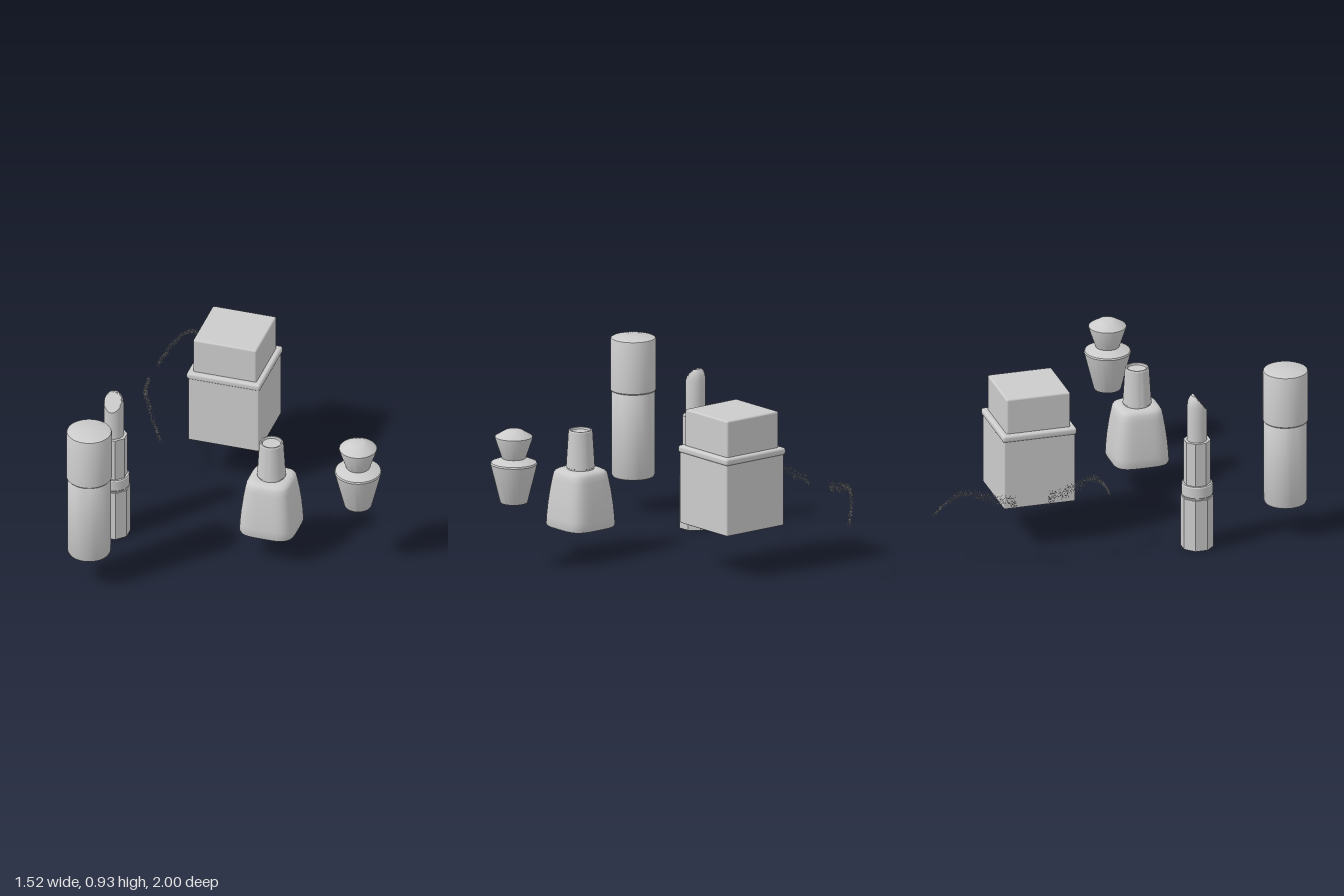
import * as THREE from 'three';
import { toCreasedNormals, mergeGeometries } from 'three/addons/utils/BufferGeometryUtils.js';
import { RoundedBoxGeometry } from 'three/addons/geometries/RoundedBoxGeometry.js';

const grey = new THREE.MeshStandardMaterial({ color: 0xcccccc, side: THREE.DoubleSide });

function add(parent, name, geometry, x = 0, y = 0, z = 0) {
  const mesh = new THREE.Mesh(geometry, grey);
  mesh.name = name;
  mesh.position.set(x, y, z);
  parent.add(mesh);
  return mesh;
}

function item(parent, name, x, z) {
  const group = new THREE.Group();
  group.name = name;
  group.position.set(x, 0, z);
  parent.add(group);
  return group;
}

// Turned part from [radius, height] pairs, listed from the bottom up
function turned(points, sides = 48) {
  const profile = points.map(([r, y]) => new THREE.Vector2(r, y));
  return toCreasedNormals(new THREE.LatheGeometry(profile, sides), 0.5);
}

// Eight-sided prism with a flat side to the front
function octagon(apothem, y0, y1) {
  const r = apothem / Math.cos(Math.PI / 8);
  const g = new THREE.CylinderGeometry(r, r, y1 - y0, 8);
  g.rotateY(Math.PI / 8);
  g.translate(0, (y0 + y1) / 2, 0);
  return toCreasedNormals(g, 0.3);
}

// Stack of rounded-square rings, each [half width, height]
function squareLoft(rings, power = 4, sides = 64) {
  const g = new THREE.LatheGeometry(rings.map(([r, y]) => new THREE.Vector2(r, y)), sides);
  const p = g.attributes.position;
  for (let i = 0; i < p.count; i++) {
    const x = p.getX(i), z = p.getZ(i), r = Math.hypot(x, z);
    if (r < 1e-6) continue;
    const k = (Math.abs(x / r) ** power + Math.abs(z / r) ** power) ** (-1 / power);
    p.setX(i, x * k);
    p.setZ(i, z * k);
  }
  return toCreasedNormals(g, 0.7);
}

// Slanted lipstick tip: a domed rod whose top is pressed onto a sloping plane
function bulletGeometry() {
  const profile = [[0.052, 0.59], [0.052, 0.7], [0.052, 0.79], [0.049, 0.815], [0.042, 0.835],
    [0.03, 0.85], [0.015, 0.858], [0, 0.86]].map(([r, y]) => new THREE.Vector2(r, y));
  const g = new THREE.LatheGeometry(profile, 32);
  const p = g.attributes.position;
  for (let i = 0; i < p.count; i++) {
    p.setY(i, Math.min(p.getY(i), 0.832 - 1.35 * p.getZ(i)));
  }
  return toCreasedNormals(g, 0.5);
}

// Sparse band of tiny fibres along a curve; side = 1 or -1 mirrors it in z
function lashGeometry(side) {
  let seed = 7;
  const random = () => (seed = (seed * 16807) % 2147483647) / 2147483647;
  const curve = new THREE.CatmullRomCurve3([
    [-0.74, 0.40, 0.09], [-0.715, 0.425, 0.22], [-0.665, 0.45, 0.34],
    [-0.61, 0.39, 0.42], [-0.545, 0.29, 0.48],
  ].map(([x, y, z]) => new THREE.Vector3(x, y, z * side)));
  const fibres = [];
  for (let i = 0; i < 500; i++) {
    const t = random() ** 1.2;
    const spread = 1 - t * 0.85;
    const c = curve.getPoint(t);
    const f = new THREE.TetrahedronGeometry(0.0035);
    f.scale(0.7, 1, 1.3);
    f.rotateX(random() * 6);
    f.rotateY(random() * 6);
    const up = random() + random() - 1;
    f.translate(c.x + (random() - 0.5) * 0.018 + up * 0.008 * spread,
      c.y + up * 0.04 * spread, c.z + (random() - 0.5) * 0.01);
    fibres.push(f);
  }
  return mergeGeometries(fibres);
}

export function createModel() {
  const model = new THREE.Group();
  model.name = 'cosmetics';

  // Tall closed tube with a slightly wider cap
  const tube = item(model, 'tallTube', -0.645, 0.88);
  add(tube, 'tubeBody', turned([[0, 0.18], [0.1, 0.18], [0.108, 0.184], [0.113, 0.195],
    [0.113, 0.632], [0.109, 0.64], [0, 0.64]]));
  add(tube, 'tubeCap', turned([[0, 0.64], [0.113, 0.64], [0.118, 0.646], [0.118, 0.915],
    [0.115, 0.922], [0.109, 0.925], [0, 0.925]]));

  // Open lipstick
  const lipstick = item(model, 'lipstick', -0.665, 0.395);
  add(lipstick, 'lipstickBase', octagon(0.08, 0, 0.285));
  add(lipstick, 'lipstickGroove', octagon(0.074, 0.28, 0.3));
  add(lipstick, 'lipstickRing', turned([[0, 0.294], [0.078, 0.294], [0.082, 0.298], [0.082, 0.354],
    [0.078, 0.36], [0, 0.36]]));
  add(lipstick, 'lipstickInnerCase', octagon(0.066, 0.35, 0.6));
  add(lipstick, 'lipstickBullet', bulletGeometry());

  // Square jar with collar and lid
  const jar = item(model, 'squareJar', -0.258, -0.393);
  add(jar, 'jarBody', new RoundedBoxGeometry(0.386, 0.39, 0.386, 3, 0.008), 0, 0.43, 0);
  add(jar, 'jarCollar', new RoundedBoxGeometry(0.402, 0.038, 0.402, 4, 0.014), 0, 0.632, 0);
  add(jar, 'jarLid', new RoundedBoxGeometry(0.346, 0.215, 0.346, 3, 0.01), 0, 0.737, 0);

  // Varnish bottle: flared rounded-square body, round tapered cap
  const varnish = item(model, 'varnishBottle', 0.17, 0.322);
  add(varnish, 'varnishBody', squareLoft([[0, 0.155], [0.138, 0.155], [0.147, 0.158], [0.151, 0.168],
    [0.149, 0.21], [0.143, 0.28], [0.134, 0.35], [0.124, 0.41], [0.118, 0.44], [0.11, 0.453],
    [0.096, 0.461], [0.075, 0.463], [0, 0.463]]));
  add(varnish, 'varnishCap', turned([[0, 0.46], [0.07, 0.46], [0.07, 0.47], [0.075, 0.472],
    [0.074, 0.485], [0.063, 0.664], [0.059, 0.67], [0.052, 0.67], [0.048, 0.66], [0, 0.66]]));

  // Tapered perfume bottle with a flared stopper
  const perfume = item(model, 'perfumeBottle', 0.635, 0.302);
  add(perfume, 'perfumeBody', turned([[0, 0.372], [0.056, 0.372], [0.062, 0.36], [0.069, 0.36],
    [0.072, 0.365], [0.12, 0.558], [0.122, 0.567], [0.118, 0.575], [0.07, 0.595], [0.058, 0.598],
    [0, 0.598]]));
  add(perfume, 'perfumeStopper', turned([[0, 0.595], [0.06, 0.595], [0.064, 0.603], [0.098, 0.705],
    [0.098, 0.712], [0.092, 0.718], [0.045, 0.746], [0.032, 0.75], [0, 0.75]]));

  // Pair of false lashes
  const lashes = item(model, 'falseLashes', 0, -0.52);
  add(lashes, 'frontLash', lashGeometry(1));
  add(lashes, 'backLash', lashGeometry(-1));

  return model;
}
